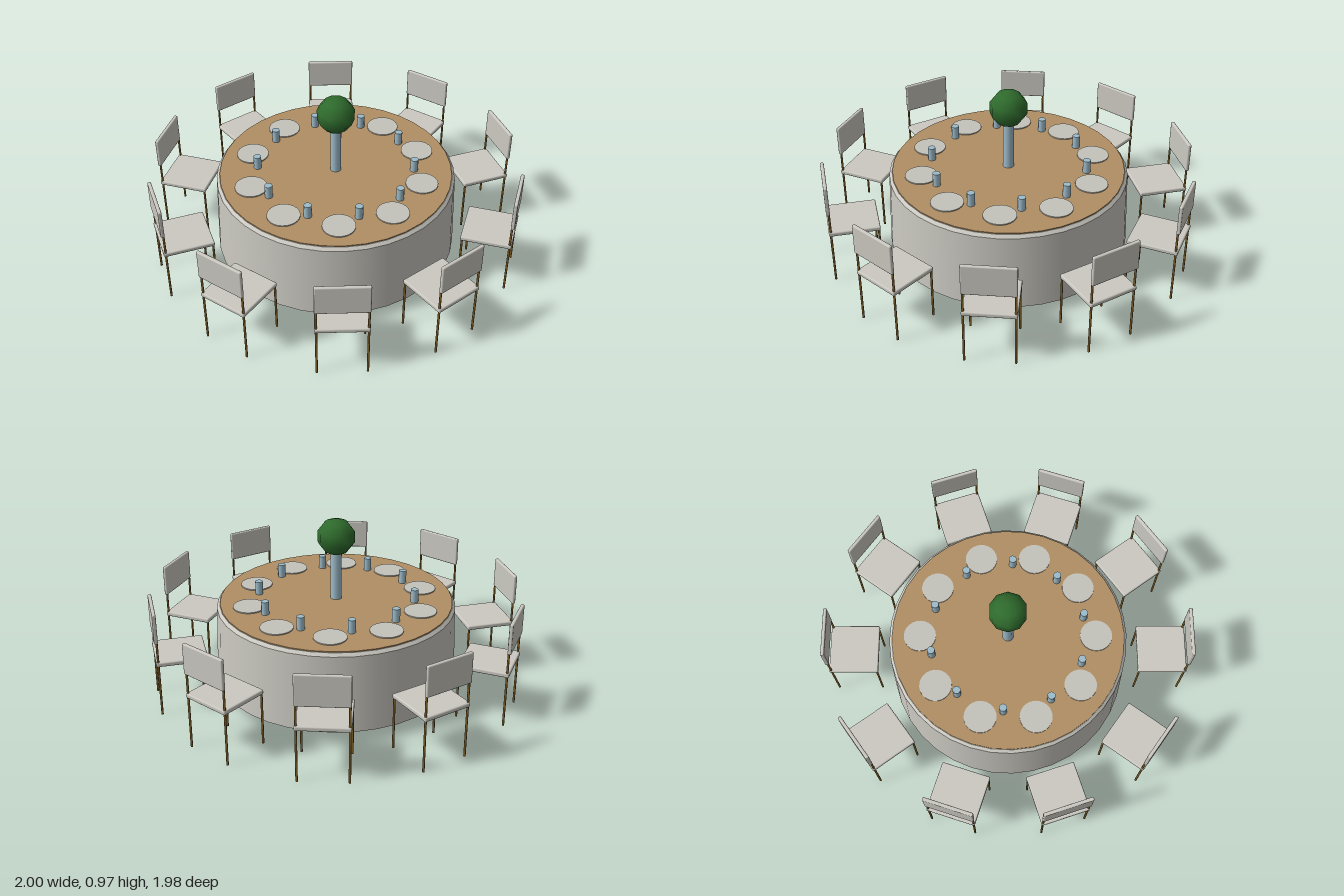
import * as THREE from 'three';
import { RoundedBoxGeometry } from 'three/addons/geometries/RoundedBoxGeometry.js';

const mat = (name, color, flatShading = false) => {
  const m = new THREE.MeshStandardMaterial({ color, flatShading });
  m.name = name;
  return m;
};

export function createModel() {
  const cloth = mat('pale cloth', 0xcbc9c1);
  const wood = mat('wood', 0xb08f64);
  const plateMat = mat('china', 0xc4c2bb);
  const brass = mat('brass', 0x80612a);
  const glassMat = mat('blue glass', 0x9dbccb);
  const leaf = mat('leaf green', 0x2f6b2d);

  const model = new THREE.Group();
  model.name = 'diningSet';
  const add = (parent, name, geometry, material, x = 0, y = 0, z = 0) => {
    const mesh = new THREE.Mesh(geometry, material);
    mesh.name = name;
    mesh.position.set(x, y, z);
    parent.add(mesh);
    return mesh;
  };

  // Round table: tapered drum, bevelled rim, inset wooden top
  const SIDES = 36;
  add(model, 'tableDrum', new THREE.CylinderGeometry(0.645, 0.66, 0.42, SIDES), cloth, 0, 0.28, 0);
  add(model, 'tableRim', new THREE.CylinderGeometry(0.63, 0.645, 0.016, SIDES), cloth, 0, 0.498, 0);
  add(model, 'tableTop', new THREE.CylinderGeometry(0.628, 0.628, 0.012, SIDES), wood, 0, 0.506, 0);

  // Centrepiece: slim vase with a round bush
  add(model, 'vase', new THREE.CylinderGeometry(0.03, 0.03, 0.28, 12), glassMat, 0, 0.65, 0);
  const bush = add(model, 'bush', new THREE.SphereGeometry(0.1, 10, 5), leaf, 0, 0.867, 0);
  bush.scale.set(1.04, 1, 1.04);
  bush.rotation.y = Math.PI / 2;

  // Shared shapes for the place settings and chairs
  const plateGeo = new THREE.CylinderGeometry(0.087, 0.087, 0.006, 24);
  const glassGeo = new THREE.CylinderGeometry(0.021, 0.021, 0.074, 10);
  const seatGeo = new RoundedBoxGeometry(0.272, 0.026, 0.272, 2, 0.008);
  const backGeo = new RoundedBoxGeometry(0.02, 0.168, 0.27, 2, 0.007);
  const frontLegGeo = new THREE.CylinderGeometry(0.006, 0.006, 0.3, 8);
  const rearLegGeo = new THREE.CylinderGeometry(0.006, 0.006, 0.45, 8);

  const COUNT = 10;
  for (let i = 0; i < COUNT; i++) {
    const angle = (i * Math.PI * 2) / COUNT;

    // Place setting, laid out along +x then turned around the table
    const setting = new THREE.Group();
    setting.name = 'placeSetting';
    setting.rotation.y = angle;
    add(setting, 'plate', plateGeo, plateMat, 0.477, 0.515, 0);
    const g = 0.4 * (Math.PI * 2) / COUNT;
    add(setting, 'glass', glassGeo, glassMat, 0.424 * Math.cos(g), 0.548, -0.424 * Math.sin(g));
    model.add(setting);

    // Chair facing the table
    const chair = new THREE.Group();
    chair.name = 'chair';
    chair.rotation.y = angle;
    add(chair, 'seat', seatGeo, cloth, 0.86, 0.298, 0);
    add(chair, 'backrest', backGeo, cloth, 0.988, 0.502, 0);
    for (const side of [-1, 1]) {
      add(chair, 'frontLeg', frontLegGeo, brass, 0.733, 0.15, side * 0.127);
      add(chair, 'rearLeg', rearLegGeo, brass, 0.985, 0.225, side * 0.127);
    }
    model.add(chair);
  }
  return model;
}
